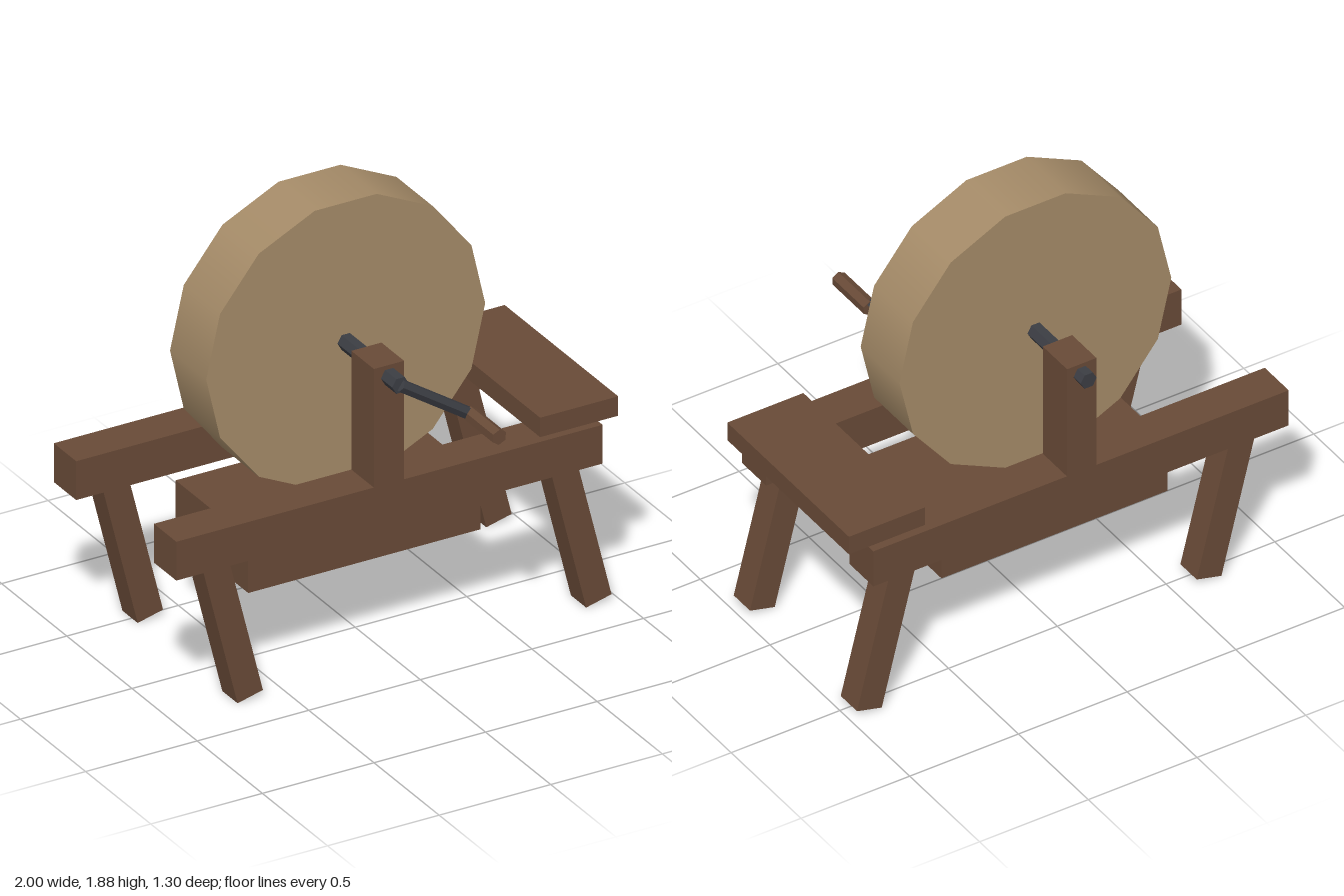
import * as THREE from 'three';

export function createModel() {
  const model = new THREE.Group();
  model.name = 'grindstone';

  const wood = new THREE.MeshStandardMaterial({ color: 0x684a37 });
  wood.name = 'brown wood';
  const stone = new THREE.MeshStandardMaterial({ color: 0xa58b68 });
  stone.name = 'tan stone';
  const iron = new THREE.MeshStandardMaterial({ color: 0x3b3d43 });
  iron.name = 'dark iron';

  function add(name, geometry, material) {
    const mesh = new THREE.Mesh(geometry, material);
    mesh.name = name;
    model.add(mesh);
    return mesh;
  }

  // Box given by its limits on each axis
  function box(name, x0, x1, y0, y1, z0, z1) {
    const mesh = add(name, new THREE.BoxGeometry(x1 - x0, y1 - y0, z1 - z0), wood);
    mesh.position.set((x0 + x1) / 2, (y0 + y1) / 2, (z0 + z1) / 2);
    return mesh;
  }

  // Prism lying along z, with a corner turned to the given angle from +x
  function rod(name, radius, sides, x, y, z0, z1, material, faceted, turn = 0) {
    let g = new THREE.CylinderGeometry(radius, radius, z1 - z0, sides, 1, false, Math.PI / 2);
    g.rotateX(Math.PI / 2);
    g.rotateZ(turn);
    if (faceted) {
      g = g.toNonIndexed();
      g.computeVertexNormals();
    }
    add(name, g, material).position.set(x, y, (z0 + z1) / 2);
  }

  const axleX = -0.047, axleY = 1.27, midZ = -0.13;

  // Frame: one rail, post and pair of raked legs on each side
  const rake = THREE.MathUtils.degToRad(14);
  for (const [side, s] of [['front', 1], ['back', -1]]) {
    const inner = midZ + s * 0.298, outer = midZ + s * 0.47;
    const z0 = Math.min(inner, outer), z1 = Math.max(inner, outer);
    box(side + 'Rail', -1, 0.91, 0.63, 0.8, z0, z1);
    box(side + 'Post', -0.115, 0.02, 0.631, 1.32, z0 - 0.001, z1 + 0.001);
    for (const [end, footX] of [['Right', -0.652], ['Left', 0.91]]) {
      const length = 0.7;
      const leg = add(side + end + 'Leg', new THREE.BoxGeometry(0.117, length, 0.117), wood);
      leg.rotation.z = rake;
      leg.position.set(
        footX - Math.sin(rake) * length / 2,
        0.015 + Math.cos(rake) * length / 2,
        midZ + s * 0.383
      );
    }
  }

  // Seat across the rails and trough under the wheel
  box('seat', 0.65, 1, 0.8, 0.885, -0.565, 0.306);
  box('trough', -0.565, 0.475, 0.37, 0.608, -0.41, 0.147);

  // Grinding wheel on its axle
  rod('wheel', 0.625, 14, axleX, axleY, -0.27, 0.008, stone, false);
  rod('axle', 0.037, 6, axleX, axleY, -0.652, 0.428, iron, true);

  // Crank arm and handle
  const gripX = 0.265, gripY = 1.062;
  const dx = gripX - axleX, dy = gripY - axleY;
  const arm = new THREE.CylinderGeometry(0.027, 0.027, Math.hypot(dx, dy), 6).toNonIndexed();
  arm.computeVertexNormals();
  const crank = add('crankArm', arm, iron);
  crank.position.set((axleX + gripX) / 2, (axleY + gripY) / 2, 0.426);
  crank.rotation.z = Math.atan2(dy, dx) - Math.PI / 2;
  rod('crankHandle', 0.033, 6, gripX, gripY, 0.428, 0.652, wood, true, Math.atan2(dy, dx));

  return model;
}
